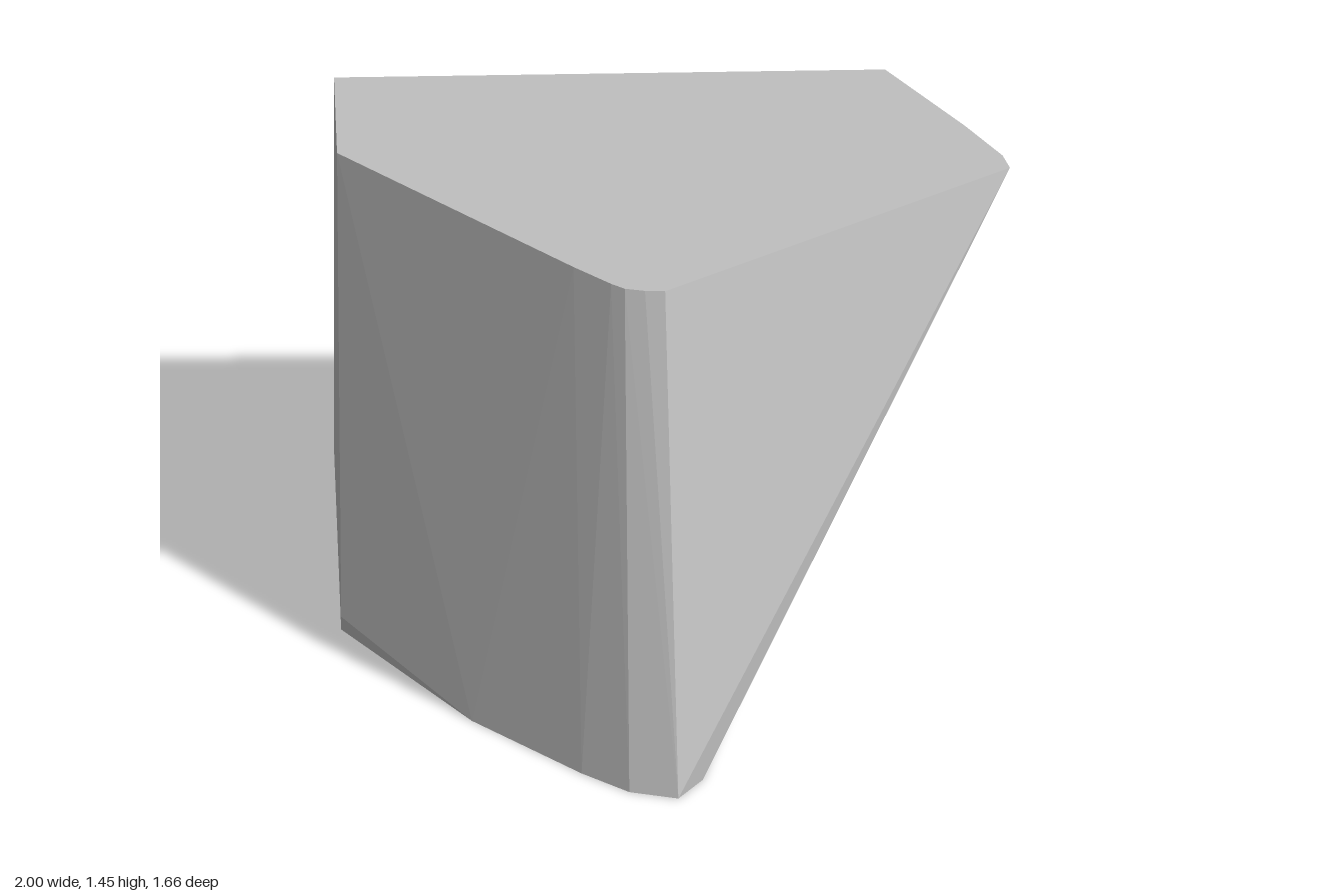
import * as THREE from 'three';
import { ConvexGeometry } from 'three/addons/geometries/ConvexGeometry.js';

// Flat top outline, as x, z at one height
const TOP_Y = 1.45;
const TOP = [
  [-1, -0.83], [0.64, -0.83], [0.87, -0.55], [0.98, -0.4], [1, -0.34],
  [-0.04, 0.24], [-0.1, 0.237], [-0.16, 0.225], [-0.2, 0.2], [-0.31, 0.115], [-1, -0.46],
];

// Front of the base rests on the ground
const FOOT = [
  [-0.62, 0.435], [-0.3, 0.7], [-0.16, 0.795], [-0.015, 0.83], [0.06, 0.74], [0.14, 0.43],
];

// Back of the base rises slightly
const HEEL_Y = 0.055;
const HEEL = [[-1, -0.83], [0, -0.83], [0.38, -0.4], [0.39, -0.34], [-1, 0.05]];

// Extra corners: bowed back right edge and chipped left corner
const CHIPS = [[0.57, 1.2, -0.83], [0.125, 0.3, -0.83], [-1, 0.11, 0.06]];

export function createModel() {
  const group = new THREE.Group();
  group.name = 'rock';

  const stone = new THREE.MeshStandardMaterial({ color: 0xc0c0c0 });
  stone.name = 'grey stone';
  stone.flatShading = true;

  const ring = (outline, y) => outline.map(([x, z]) => new THREE.Vector3(x, y, z));
  const corners = [
    ...ring(TOP, TOP_Y),
    ...ring(FOOT, 0),
    ...ring(HEEL, HEEL_Y),
    ...CHIPS.map((p) => new THREE.Vector3(...p)),
  ];

  // One faceted convex block
  const block = new THREE.Mesh(new ConvexGeometry(corners), stone);
  block.name = 'stoneBlock';
  group.add(block);
  return group;
}
